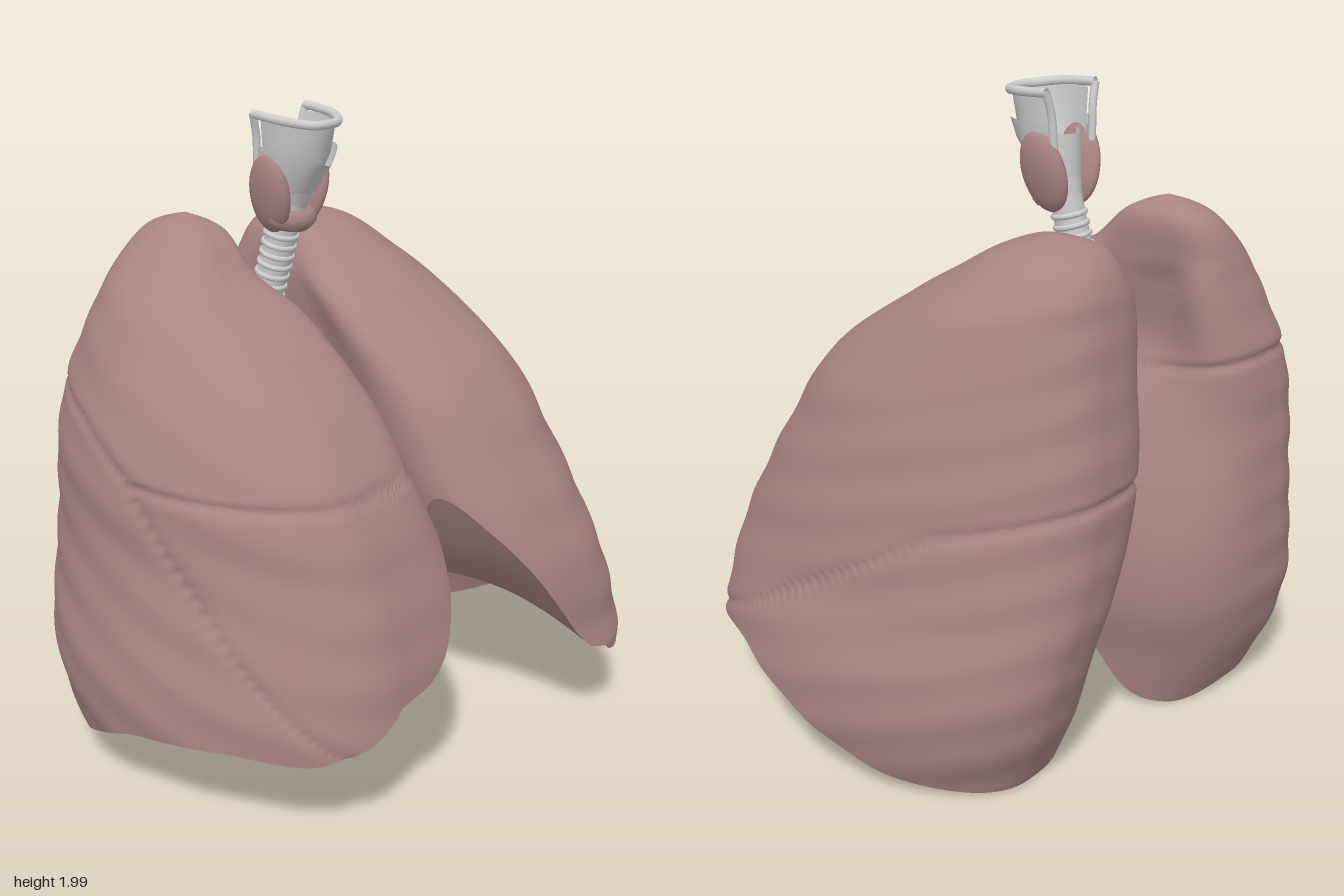
import * as THREE from 'three';

const pink = new THREE.MeshStandardMaterial({ color: 0xa98483, side: THREE.DoubleSide });
const grey = new THREE.MeshStandardMaterial({ color: 0xcccccc, side: THREE.DoubleSide });
const V = (x, y, z) => new THREE.Vector3(x, y, z);
const { lerp, smoothstep } = THREE.MathUtils;
const COLS = 140, ROWS = 170, BASE_ROWS = 24;

function addMesh(parent, name, geometry, material) {
  const mesh = new THREE.Mesh(geometry, material);
  mesh.name = name;
  parent.add(mesh);
  return mesh;
}

function tube(parent, name, points, radius, material, segments = 32) {
  const curve = new THREE.CatmullRomCurve3(points);
  return addMesh(parent, name, new THREE.TubeGeometry(curve, segments, radius, 10), material);
}

// Catmull-Rom over one value; a closed list wraps around
function cubic(list, t, closed) {
  const n = list.length, i = Math.floor(t), f = t - i;
  const at = (k) => list[closed ? (k + n) % n : Math.min(n - 1, Math.max(0, k))];
  const [p, q, r, s] = [at(i - 1), at(i), at(i + 1), at(i + 2)];
  return q + 0.5 * f * (r - p + f * (2 * p - 5 * q + 4 * r - s + f * (3 * (q - r) + s - p)));
}

// Straight interpolation through [z, y] pairs
function polyline(pairs, z) {
  let i = 0;
  while (i < pairs.length - 2 && z > pairs[i + 1][0]) i++;
  const [a, b] = [pairs[i], pairs[i + 1]];
  return lerp(a[1], b[1], (z - a[0]) / (b[0] - a[0]));
}

// Indexed faces over a grid that is closed around its columns, grouped by pick(row, column)
function gridFaces(rows, flip, pick) {
  const groups = {};
  for (let r = 0; r < rows; r++) for (let c = 0; c < COLS; c++) {
    const d = (c + 1) % COLS;
    const [p, q, s, t] = [r * COLS + c, r * COLS + d, (r + 1) * COLS + c, (r + 1) * COLS + d];
    const list = (groups[pick(r, c)] ||= []);
    if (flip) list.push(p, s, q, q, s, t);
    else list.push(p, q, s, q, t, s);
  }
  return groups;
}

function addSurface(parent, points, rows, flip, pick) {
  const groups = gridFaces(rows, flip, pick);
  const full = new THREE.BufferGeometry().setFromPoints(points);
  full.setIndex(Object.values(groups).flat());
  full.computeVertexNormals();
  for (const [name, index] of Object.entries(groups)) {
    const part = full.clone();
    part.setIndex(index);
    addMesh(parent, name, part.toNonIndexed(), pink);
  }
}

// side: +1 or -1; levels: [y, medial, lateral, back, front, medial hollow]; rim: base height every 30 degrees
function makeLung({ name, side, levels, rim, frontSquare, dome, lobeAt, gap }) {
  const lung = new THREE.Group();
  lung.name = name;
  const columns = [0, 1, 2, 3, 4, 5].map((k) => levels.map((l) => l[k]));
  const wall = [];

  function wallPoint(t, a) {
    const [y, med, lat, back, front, hollow] = columns.map((list) => cubic(list, t, false));
    const c = Math.cos(a), s = Math.sin(a);
    const hw = (lat - med) / 2, hd = (front - back) / 2;
    // squarer towards the midline, rounder outside
    const power = 2 / (c < 0 ? (s > 0 ? frontSquare : 2.9) : (s > 0 ? 2 : 1.9));
    let x = Math.sign(c) * Math.abs(c) ** power * hw;
    let z = Math.sign(s) * Math.abs(s) ** power * hd;
    // hollow beside the heart and windpipe
    x += hollow * Math.exp(-(((a - Math.PI - 0.23) / 0.46) ** 2));
    const cz = (back + front) / 2;
    // faint rib waves and the grooves between lobes
    const fade = Math.min(1, hw / 0.3) * smoothstep(c, -0.6, 0.3);
    const wave = 0.0028 * fade * Math.sin((y + 0.3 * (z + cz)) * 38);
    const groove = 0.013 * Math.exp(-((gap(y, z + cz) / 0.014) ** 2));
    x += c * (wave - groove);
    z += s * (wave - groove);
    return V(side * ((lat + med) / 2 + x), y, cz + z);
  }

  // Where each column of the wall meets the base rim
  const ends = [];
  for (let c = 0; c < COLS; c++) {
    const goal = cubic(rim, (c / COLS) * rim.length, true);
    let lo = 0, hi = levels.length - 1;
    for (let k = 0; k < 30; k++) {
      const mid = (lo + hi) / 2;
      if (cubic(columns[0], mid, false) > goal) lo = mid; else hi = mid;
    }
    ends.push(lo);
  }
  for (let r = 0; r <= ROWS; r++) for (let c = 0; c < COLS; c++) {
    wall.push(wallPoint((ends[c] * r) / ROWS, (c / COLS) * Math.PI * 2));
  }
  addSurface(lung, wall, ROWS, side < 0, (r, c) => {
    const p = wall[r * COLS + c];
    return lobeAt(p.y, p.z);
  });

  // Concave underside, from the rim up to the dome
  const base = [], edge = wall.slice(ROWS * COLS);
  for (let r = 0; r <= BASE_ROWS; r++) for (const p of edge) {
    const s = 1 - r / BASE_ROWS;
    base.push(V(lerp(dome.x, p.x, s), lerp(dome.y, p.y, s ** 2.8), lerp(dome.z, p.z, s)));
  }
  addSurface(lung, base, BASE_ROWS, side < 0, () => 'diaphragmSurface');
  return lung;
}

function makeLungs() {
  const leftFissure = [[-0.6, 0.92], [-0.3, 0.85], [0, 0.68], [0.3, 0.5], [0.6, 0.35]];
  const rightFissure = [[-0.7, 1.2], [-0.35, 1.13], [-0.1, 1.02], [0.6, 0.33]];
  const leftGap = (y, z) => y - polyline(leftFissure, z);
  const rightGap = (y, z) => y - polyline(rightFissure, z);
  const MIDDLE = 1.01;

  const left = makeLung({
    name: 'leftLung', side: 1, frontSquare: 3.8, dome: V(0.45, 0.45, -0.05),
    levels: [
      [1.63, 0.2, 0.2, -0.33, -0.33, 0], [1.59, 0.09, 0.36, -0.47, -0.18, 0], [1.5, 0.02, 0.47, -0.53, -0.03, 0.03],
      [1.4, -0.04, 0.55, -0.55, 0.13, 0.09], [1.2, -0.055, 0.65, -0.58, 0.39, 0.11], [1, -0.055, 0.71, -0.61, 0.52, 0.13],
      [0.8, -0.03, 0.76, -0.62, 0.625, 0.15], [0.6, 0.05, 0.8, -0.62, 0.7, 0.07], [0.4, 0.115, 0.86, -0.59, 0.72, 0],
      [0.2, 0.13, 0.87, -0.54, 0.745, 0], [0, 0.14, 0.82, -0.45, 0.7, 0],
    ],
    rim: [0.21, 0.33, 0.31, 0.31, 0.76, 0.87, 0.44, 0.13, 0.04, 0.02, 0.03, 0.08],
    gap: leftGap,
    lobeAt: (y, z) => (leftGap(y, z) > 0 ? 'upperLobe' : 'lowerLobe'),
  });

  const right = makeLung({
    name: 'rightLung', side: -1, frontSquare: 4.6, dome: V(-0.42, 0.48, -0.1),
    levels: [
      [1.67, 0.23, 0.23, -0.4, -0.4, 0], [1.62, 0.15, 0.34, -0.54, -0.28, 0], [1.5, 0.13, 0.48, -0.6, -0.14, 0.02],
      [1.4, 0.09, 0.58, -0.63, 0.06, 0.08], [1.2, 0.08, 0.7, -0.69, 0.34, 0.1], [1, 0.06, 0.77, -0.71, 0.49, 0.01],
      [0.8, 0, 0.79, -0.73, 0.57, 0], [0.6, -0.045, 0.83, -0.74, 0.63, 0], [0.4, -0.05, 0.87, -0.73, 0.66, 0],
      [0.2, -0.01, 0.85, -0.67, 0.66, 0], [0, 0.01, 0.78, -0.57, 0.6, 0],
    ],
    rim: [0.27, 0.32, 0.31, 0.43, 0.79, 0.88, 0.5, 0.11, 0.015, 0.05, 0.08, 0.14],
    gap: (y, z) => {
      const d = rightGap(y, z);
      return d > 0 && z > -0.1 ? Math.min(d, Math.abs(y - MIDDLE)) : d;
    },
    lobeAt: (y, z) => (rightGap(y, z) < 0 ? 'lowerLobe' : y > MIDDLE || z < -0.1 ? 'upperLobe' : 'middleLobe'),
  });
  return [left, right];
}

// Windpipe with cartilage rings, and the two main bronchi
function makeAirway() {
  const airway = new THREE.Group();
  airway.name = 'airway';
  const path = new THREE.CatmullRomCurve3([V(-0.038, 1.72, -0.15), V(-0.045, 1.58, -0.18), V(-0.06, 1.35, -0.24), V(-0.07, 1.1, -0.3)]);
  addMesh(airway, 'trachea', new THREE.TubeGeometry(path, 40, 0.049, 20), grey);
  for (let i = 0; i < 16; i++) {
    const t = 0.18 + i * 0.052;
    const ring = addMesh(airway, 'tracheaRing', new THREE.TorusGeometry(0.048, 0.009, 8, 24), grey);
    ring.position.copy(path.getPointAt(t));
    ring.quaternion.setFromUnitVectors(V(0, 0, 1), path.getTangentAt(t));
  }
  tube(airway, 'rightBronchus', [V(-0.075, 1.14, -0.29), V(-0.13, 1.07, -0.29), V(-0.22, 1, -0.28)], 0.035, grey);
  tube(airway, 'leftBronchus', [V(-0.065, 1.14, -0.29), V(0, 1.08, -0.28), V(0.14, 1.02, -0.26)], 0.032, grey);
  return airway;
}

// Open-backed shell lofted from U-shaped levels: [y, half width, front z, back z]
function shell(levels, notch = 0) {
  const n = 40, points = [], index = [];
  levels.forEach(([y, w, front, back], r) => {
    for (let i = 0; i <= n; i++) {
      const a = ((i / n) * 2 - 1) * 2;
      const mid = back + (front - back) * 0.35;
      const dip = r === 0 ? notch * Math.exp(-((a / 0.4) ** 2)) : 0;
      const z = Math.cos(a) > 0 ? mid + Math.cos(a) * (front - mid) : mid + (Math.cos(a) / 0.416) * (mid - back);
      points.push(V(w * Math.sin(a), y - dip, z));
      if (r && i < n) {
        const p = (r - 1) * (n + 1) + i, q = p + n + 1;
        index.push(p, q, p + 1, p + 1, q, q + 1);
      }
    }
  });
  const g = new THREE.BufferGeometry().setFromPoints(points);
  g.setIndex(index);
  g.computeVertexNormals();
  return g;
}

function makeThroat() {
  const throat = new THREE.Group();
  throat.name = 'throat';
  throat.position.x = -0.038;
  addMesh(throat, 'larynxMembrane', shell([[1.97, 0.1, 0.02, -0.17], [1.87, 0.092, 0, -0.17], [1.78, 0.08, -0.05, -0.19], [1.69, 0.055, -0.09, -0.2]]), grey);
  addMesh(throat, 'larynxShield', shell([[1.89, 0.108, 0.022, -0.18], [1.83, 0.1, 0, -0.18], [1.75, 0.078, -0.055, -0.19]], 0.05), grey);
  const cricoid = addMesh(throat, 'cricoidRing', new THREE.CylinderGeometry(0.064, 0.056, 0.1, 28, 1, true), grey);
  cricoid.position.set(0, 1.71, -0.145);
  cricoid.rotation.x = 0.2;
  // raised back plate of the ring
  const plate = addMesh(throat, 'cricoidBackPlate', new THREE.CylinderGeometry(0.062, 0.064, 0.13, 20, 1, true, Math.PI * 0.55, Math.PI * 0.9), grey);
  plate.position.set(0, 1.79, -0.14);
  tube(throat, 'upperHorseshoe', [V(-0.112, 1.985, -0.18), V(-0.1, 1.975, -0.06), V(-0.05, 1.965, 0.01), V(0, 1.965, 0.022),
    V(0.05, 1.965, 0.01), V(0.1, 1.975, -0.06), V(0.112, 1.985, -0.18)], 0.014, grey, 48);
  for (const s of [-1, 1]) {
    tube(throat, 'larynxHorn', [V(s * 0.112, 1.985, -0.18), V(s * 0.095, 1.92, -0.185), V(s * 0.085, 1.8, -0.19), V(s * 0.06, 1.7, -0.19)], 0.012, grey);
    const lobe = addMesh(throat, 'thyroidLobe', new THREE.SphereGeometry(1, 28, 20), pink);
    lobe.scale.set(0.036, 0.125, 0.08);
    lobe.position.set(s * 0.08, 1.745, -0.146);
    lobe.rotation.set(0.14, 0, -s * 0.2);
  }
  tube(throat, 'thyroidBridge', [V(-0.07, 1.68, -0.15), V(-0.045, 1.665, -0.118), V(0, 1.658, -0.105),
    V(0.045, 1.665, -0.118), V(0.07, 1.68, -0.15)], 0.036, pink);
  return throat;
}

export function createModel() {
  const model = new THREE.Group();
  model.name = 'lungsAndAirway';
  model.add(...makeLungs(), makeAirway(), makeThroat());
  return model;
}
